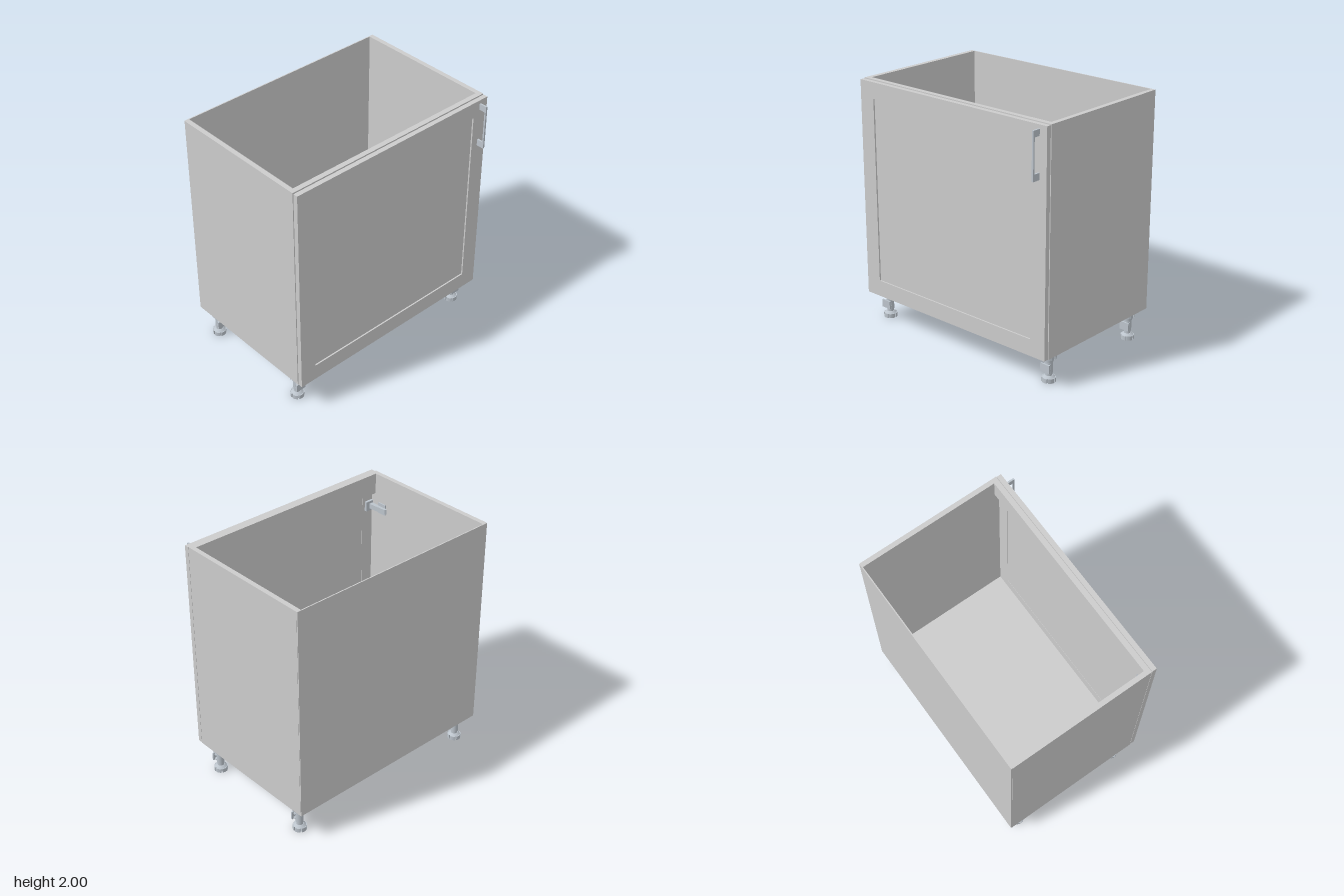
import * as THREE from 'three';

const grey = new THREE.MeshStandardMaterial({ color: 0xcccccc });
const metal = new THREE.MeshStandardMaterial({ color: 0xbcc4cc });

function add(parent, name, geometry, material = grey) {
  const mesh = new THREE.Mesh(geometry, material);
  mesh.name = name;
  parent.add(mesh);
  return mesh;
}

// Box given by its limits on each axis
function box(parent, name, [x0, x1], [y0, y1], [z0, z1], material) {
  const mesh = add(parent, name, new THREE.BoxGeometry(x1 - x0, y1 - y0, z1 - z0), material);
  mesh.position.set((x0 + x1) / 2, (y0 + y1) / 2, (z0 + z1) / 2);
  return mesh;
}

function cylinder(parent, name, rTop, rBottom, y0, y1, sides = 24) {
  const mesh = add(parent, name, new THREE.CylinderGeometry(rTop, rBottom, y1 - y0, sides), metal);
  mesh.position.y = (y0 + y1) / 2;
  return mesh;
}

function rectangle(Type, x0, x1, y0, y1) {
  const r = new Type();
  r.moveTo(x0, y0);
  r.lineTo(x1, y0);
  r.lineTo(x1, y1);
  r.lineTo(x0, y1);
  r.closePath();
  return r;
}

// Disc with notches cut into its rim, lying flat between y0 and y1
function notchedDisc(parent, name, radius, inner, notches, y0, y1) {
  const shape = new THREE.Shape();
  const step = (Math.PI * 2) / notches;
  for (let i = 0; i < notches; i++) {
    const a = i * step;
    for (let k = 0; k <= 4; k++) {
      const t = a + step * (0.09 + 0.82 * k / 4);
      if (i === 0 && k === 0) shape.moveTo(radius * Math.cos(t), radius * Math.sin(t));
      else shape.lineTo(radius * Math.cos(t), radius * Math.sin(t));
    }
    for (const f of [0.93, 1.07]) {
      const t = a + step * f;
      shape.lineTo(inner * Math.cos(t), inner * Math.sin(t));
    }
  }
  const geometry = new THREE.ExtrudeGeometry(shape, { depth: y1 - y0, bevelEnabled: false });
  geometry.rotateX(-Math.PI / 2);
  add(parent, name, geometry, metal).position.y = y0;
}

function createLeg() {
  const leg = new THREE.Group();
  leg.name = 'leg';
  notchedDisc(leg, 'footPad', 0.054, 0.04, 6, 0, 0.035);
  cylinder(leg, 'footCone', 0.03, 0.048, 0.035, 0.05);
  cylinder(leg, 'lowerStem', 0.026, 0.026, 0.05, 0.075);
  cylinder(leg, 'shaft', 0.03, 0.03, 0.07, 0.165);
  cylinder(leg, 'collar', 0.036, 0.033, 0.16, 0.19);
  notchedDisc(leg, 'mountingFlange', 0.057, 0.045, 4, 0.188, 0.232);
  cylinder(leg, 'mountingPlate', 0.05, 0.05, 0.23, 0.242);
  // Plinth clip on the front of the shaft
  box(leg, 'clipPlate', [-0.042, 0.042], [0.085, 0.15], [0.037, 0.048], metal);
  for (const y of [0.092, 0.133]) {
    box(leg, 'clipArm', [-0.03, 0.03], [y, y + 0.01], [0.012, 0.04], metal);
  }
  return leg;
}

function createHinge() {
  const hinge = new THREE.Group();
  hinge.name = 'hinge';
  box(hinge, 'hingePlate', [-0.888, -0.878], [-0.045, 0.045], [0.38, 0.46], metal);
  // Arm tapers towards its rear end
  const profile = new THREE.Shape([
    [-0.88, 0.365], [-0.87, 0.355], [-0.857, 0.365], [-0.845, 0.5], [-0.845, 0.53], [-0.88, 0.53],
  ].map(([x, z]) => new THREE.Vector2(x, -z)));
  const arm = new THREE.ExtrudeGeometry(profile, { depth: 0.04, bevelEnabled: false });
  arm.rotateX(-Math.PI / 2);
  add(hinge, 'hingeArm', arm, metal).position.y = -0.02;
  box(hinge, 'hingeCup', [-0.885, -0.815], [-0.04, 0.04], [0.525, 0.548], metal);
  return hinge;
}

export function createModel() {
  const model = new THREE.Group();
  model.name = 'baseCabinet';

  // Open-topped carcass
  for (const s of [-1, 1]) {
    box(model, 'sidePanel', s < 0 ? [-0.925, -0.887] : [0.887, 0.925], [0.24, 2], [-0.637, 0.541]);
  }
  box(model, 'backPanel', [-0.923, 0.923], [0.24, 2], [-0.646, -0.637]);
  box(model, 'bottomPanel', [-0.887, 0.887], [0.242, 0.28], [-0.637, 0.541]);
  box(model, 'frontRail', [-0.887, 0.887], [1.83, 2], [0.5, 0.541]);
  box(model, 'backRail', [-0.887, 0.887], [0.28, 0.45], [-0.637, -0.605]);

  // Framed door with a shallow recessed centre
  const door = new THREE.Group();
  door.name = 'door';
  const frame = rectangle(THREE.Shape, -0.923, 0.923, 0.242, 1.995);
  frame.holes.push(rectangle(THREE.Path, -0.787, 0.787, 0.375, 1.865));
  add(door, 'doorFrame', new THREE.ExtrudeGeometry(frame, { depth: 0.038, bevelEnabled: false }))
    .position.z = 0.547;
  box(door, 'doorPanel', [-0.787, 0.787], [0.375, 1.865], [0.549, 0.573]);
  model.add(door);

  // Bracket-shaped pull handle, drawn from the side
  const pull = new THREE.Shape([
    [0.584, 1.6], [0.649, 1.6], [0.649, 1.965], [0.584, 1.965],
    [0.584, 1.915], [0.636, 1.915], [0.636, 1.652], [0.584, 1.652],
  ].map(([z, y]) => new THREE.Vector2(-z, y)));
  const pullGeometry = new THREE.ExtrudeGeometry(pull, { depth: 0.014, bevelEnabled: false });
  pullGeometry.rotateY(Math.PI / 2);
  add(model, 'handle', pullGeometry, metal).position.x = 0.844;

  for (const y of [0.5, 1.72]) {
    const hinge = createHinge();
    hinge.position.y = y;
    model.add(hinge);
  }

  for (const x of [-0.84, 0.837]) {
    for (const z of [0.43, -0.525]) {
      const leg = createLeg();
      leg.position.set(x, 0, z);
      model.add(leg);
    }
  }
  return model;
}
